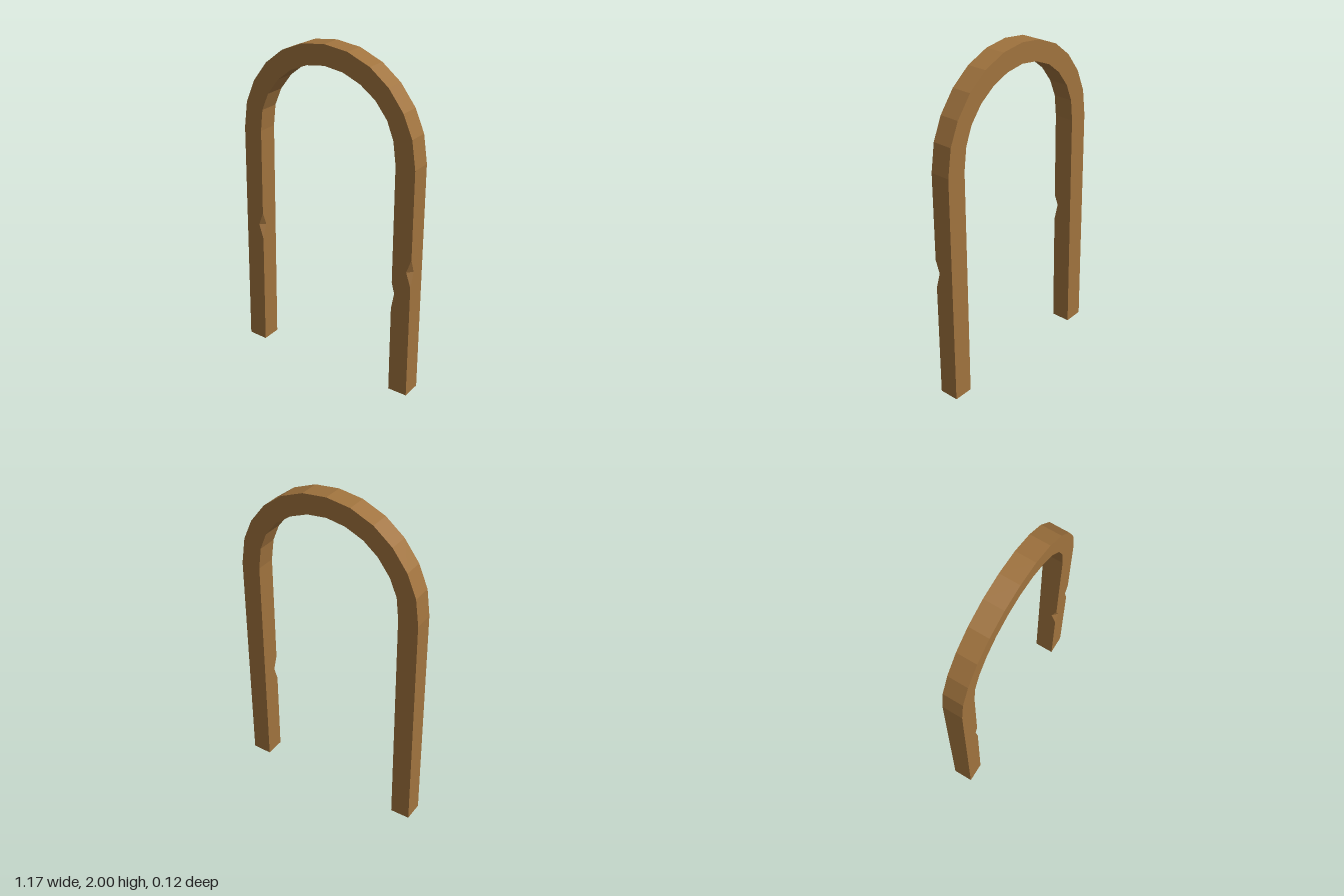
import * as THREE from 'three';

const HALF = 0.06; // half depth of the beam
const CHIP = 0.03; // depth of the chipped edges

// Point between two stations, for rows along a straight leg
const along = (a, b, y, chip) => {
  const t = (y - a[1]) / (b[1] - a[1]);
  const mix = (k) => a[k] + (b[k] - a[k]) * t;
  return [mix(0), y, mix(2), y, chip];
};

// Cross-section ring: back outer, front outer (twice), front inner (twice), back inner
function ring([ox, oy, ix, iy, chip]) {
  const s = Math.sign(ix - ox) * CHIP;
  const o = chip === 'outer', i = chip === 'inner';
  return [
    [ox, oy, -HALF],
    [ox, oy, o ? HALF - CHIP : HALF],
    [o ? ox + s : ox, oy, HALF],
    [i ? ix - s : ix, iy, HALF],
    [ix, iy, i ? HALF - CHIP : HALF],
    [ix, iy, -HALF],
  ].map((p) => new THREE.Vector3(...p));
}

// Skin the rings with flat faces, leaving out collapsed triangles
function loft(rings) {
  const positions = [];
  const tri = (a, b, c) => {
    const area = b.clone().sub(a).cross(c.clone().sub(a)).length();
    if (area > 1e-7) for (const p of [a, b, c]) positions.push(p.x, p.y, p.z);
  };
  for (let r = 0; r < rings.length - 1; r++) {
    const p = rings[r], q = rings[r + 1], n = p.length;
    for (let j = 0; j < n; j++) {
      const k = (j + 1) % n;
      tri(p[j], p[k], q[k]);
      tri(p[j], q[k], q[j]);
    }
  }
  const first = rings[0], last = rings[rings.length - 1];
  for (let j = 1; j < first.length - 1; j++) {
    tri(first[0], first[j + 1], first[j]);
    tri(last[0], last[j], last[j + 1]);
  }
  const geometry = new THREE.BufferGeometry();
  geometry.setAttribute('position', new THREE.Float32BufferAttribute(positions, 3));
  geometry.computeVertexNormals();
  return geometry;
}

export function createModel() {
  const group = new THREE.Group();
  group.name = 'woodenArch';

  // Stations: outer x, outer y, inner x, inner y
  const bend = [
    [-0.565, 1.42, -0.445, 1.42],
    [-0.543, 1.58, -0.43, 1.55],
    [-0.485, 1.715, -0.385, 1.655],
    [-0.393, 1.835, -0.31, 1.752],
    [-0.278, 1.925, -0.22, 1.822],
    [-0.14, 1.982, -0.11, 1.867],
    [0.005, 2, 0.005, 1.883],
    [0.153, 1.982, 0.125, 1.867],
    [0.293, 1.925, 0.235, 1.822],
    [0.41, 1.835, 0.33, 1.754],
    [0.503, 1.715, 0.405, 1.66],
    [0.56, 1.585, 0.447, 1.555],
    [0.585, 1.42, 0.465, 1.42],
  ];
  const rightFoot = [-0.585, 0.004, -0.465, 0];
  const leftFoot = [0.585, 0, 0.465, 0];
  const rightTop = bend[0], leftTop = bend[bend.length - 1];

  const stations = [
    rightFoot,
    // chip on the inner front edge
    along(rightFoot, rightTop, 0.72),
    along(rightFoot, rightTop, 0.81, 'inner'),
    along(rightFoot, rightTop, 0.89),
    ...bend,
    // chips on the outer and inner front edges
    along(leftFoot, leftTop, 0.895),
    along(leftFoot, leftTop, 0.81, 'outer'),
    along(leftFoot, leftTop, 0.72),
    along(leftFoot, leftTop, 0.63, 'inner'),
    along(leftFoot, leftTop, 0.55),
    leftFoot,
  ];

  const wood = new THREE.MeshStandardMaterial({ color: 0xa0733e, flatShading: true });
  const arch = new THREE.Mesh(loft(stations.map(ring)), wood);
  arch.name = 'archBeam';
  group.add(arch);
  return group;
}
